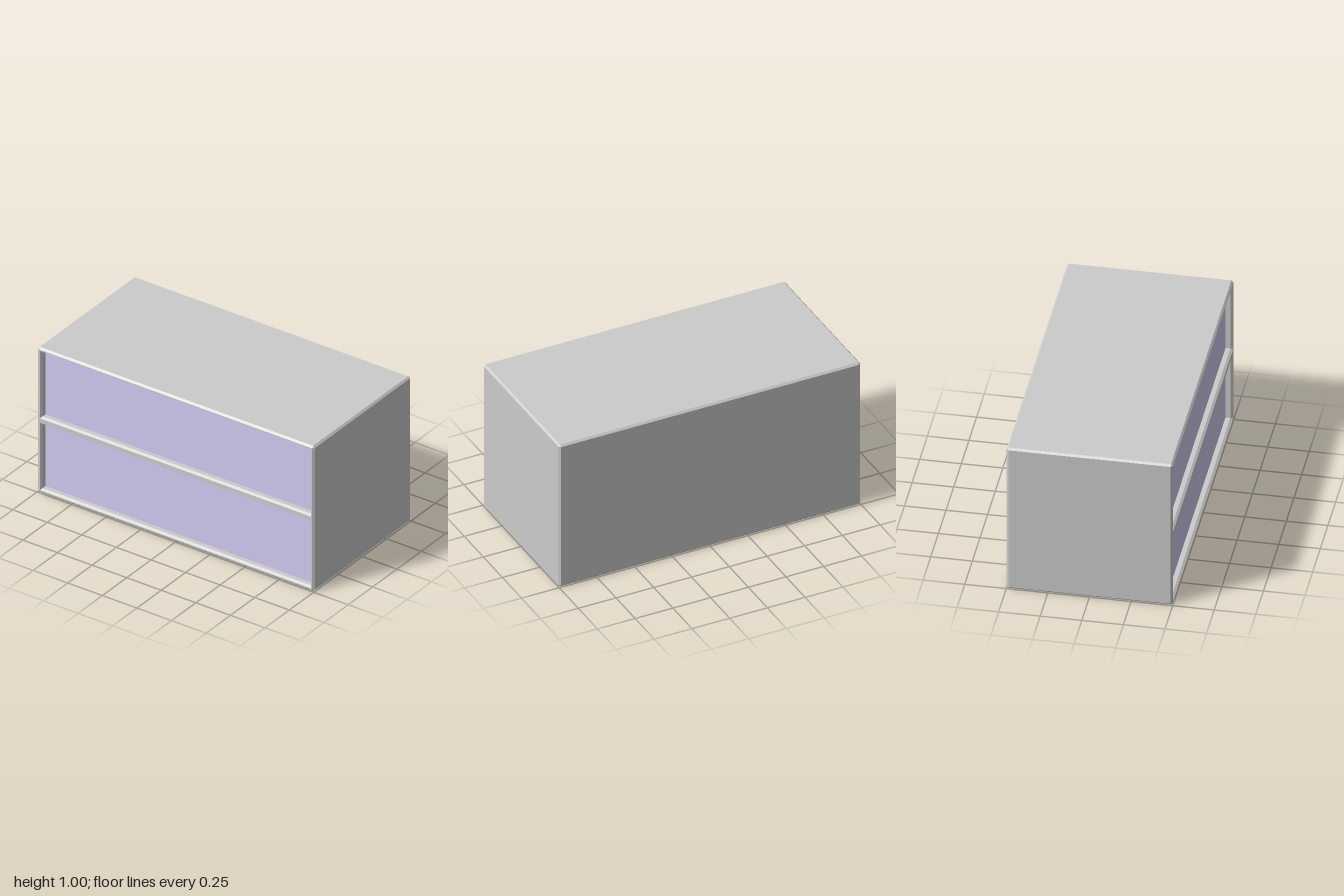
import * as THREE from 'three';

const CHAMFER = 0.012;
const grey = new THREE.MeshStandardMaterial({ color: 0xcccccc, flatShading: true });
const violet = new THREE.MeshStandardMaterial({ color: 0xd2c9f0, flatShading: true });

// Local frame: u along the length, v up, w out of the open side.
// A rectangular loop, with each corner cut by c (eight points).
function loop(u, v0, v1, w, c = 0) {
  return [
    [-u + c, v0], [u - c, v0], [u, v0 + c], [u, v1 - c],
    [u - c, v1], [-u + c, v1], [-u, v1 - c], [-u, v0 + c],
  ].map(([a, b]) => new THREE.Vector3(a, b, w));
}

// Skin between successive loops
function loft(loops) {
  const pts = [];
  for (let i = 0; i < loops.length - 1; i++) {
    const lo = loops[i], hi = loops[i + 1];
    for (let j = 0; j < lo.length; j++) {
      const k = (j + 1) % lo.length;
      for (const [a, b, c] of [[lo[j], lo[k], hi[k]], [lo[j], hi[k], hi[j]]]) {
        const area = new THREE.Triangle(a, b, c).getArea();
        if (area > 1e-9) pts.push(a, b, c);
      }
    }
  }
  const geometry = new THREE.BufferGeometry().setFromPoints(pts);
  geometry.computeVertexNormals();
  return geometry;
}

function rectPath(PathClass, u, v0, v1) {
  return new PathClass([[-u, v0], [u, v0], [u, v1], [-u, v1]].map(([a, b]) => new THREE.Vector2(a, b)));
}

export function createModel() {
  const group = new THREE.Group();
  group.name = 'cabinet';

  // Turn the local frame so that the open side faces -x
  const add = (name, geometry, material = grey) => {
    geometry.rotateY(-Math.PI / 2);
    const mesh = new THREE.Mesh(geometry, material);
    mesh.name = name;
    group.add(mesh);
  };

  // Chamfered outer shell
  const c = CHAMFER;
  add('shell', loft([
    loop(1 - c, c, 1 - c, -0.5),
    loop(1, 0, 1, -0.5 + c, c),
    loop(1, 0, 1, 0.5 - c, c),
    loop(1 - c, c, 1 - c, 0.5),
  ]));

  // Closed side
  add('closedSide', new THREE.PlaneGeometry(2 - 2 * c, 1 - 2 * c).rotateY(Math.PI).translate(0, 0.5, -0.5));

  // Frame around the two bays
  const bays = [['lower', 0.02, 0.485], ['upper', 0.515, 0.98]];
  const face = rectPath(THREE.Shape, 1 - c, c, 1 - c);
  for (const [, v0, v1] of bays) face.holes.push(rectPath(THREE.Path, 0.98, v0, v1));
  add('frame', new THREE.ShapeGeometry(face).translate(0, 0, 0.5));

  // Each bay: chamfered lip, recess walls and inset panel
  const b = 0.01, u = 0.97, depth = 0.456;
  for (const [name, v0, v1] of bays) {
    add(name + 'Recess', loft([
      loop(u + b, v0, v1, 0.5),
      loop(u, v0 + b, v1 - b, 0.485),
      loop(u, v0 + b, v1 - b, depth),
    ]));
    const panel = new THREE.PlaneGeometry(2 * u, v1 - v0 - 2 * b);
    add(name + 'Panel', panel.translate(0, (v0 + v1) / 2, depth), violet);
  }

  return group;
}
